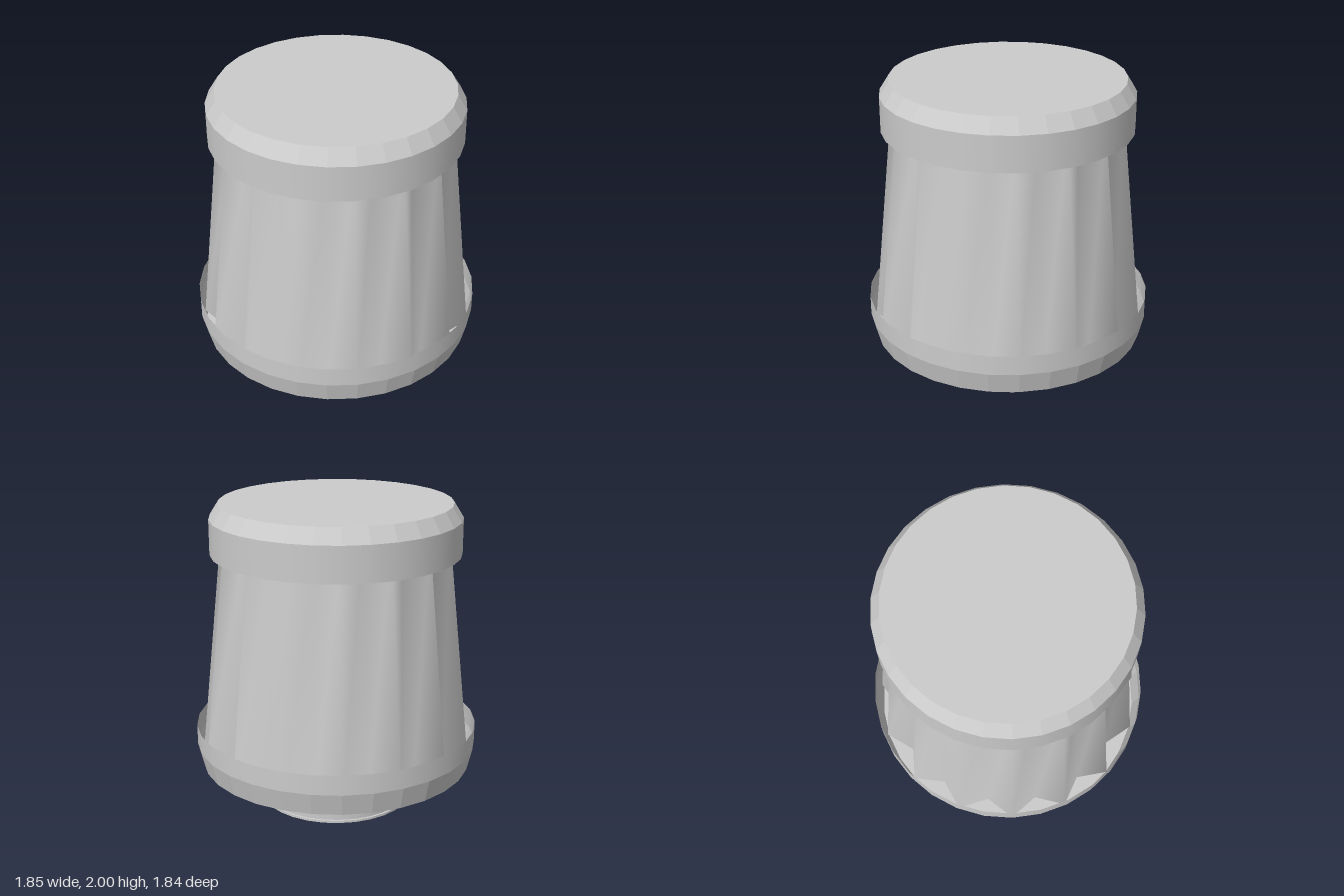
import * as THREE from 'three';

const SIDES = 30;
const smooth = new THREE.MeshStandardMaterial({ color: 0xcccccc, side: THREE.DoubleSide });
const faceted = new THREE.MeshStandardMaterial({ color: 0xcccccc, side: THREE.DoubleSide, flatShading: true });

// Cylinder or cone band standing between two heights, with a corner on +x
function band(name, rBottom, yBottom, rTop, yTop, { open = true, material = smooth } = {}) {
  const geo = new THREE.CylinderGeometry(rTop, rBottom, yTop - yBottom, SIDES, 1, open);
  geo.rotateY(Math.PI / 2);
  geo.translate(0, (yBottom + yTop) / 2, 0);
  const mesh = new THREE.Mesh(geo, material);
  mesh.name = name;
  return mesh;
}

// Flat round plate facing up or down
function disc(name, radius, y, up) {
  const geo = new THREE.CircleGeometry(radius, SIDES);
  geo.rotateX(up ? -Math.PI / 2 : Math.PI / 2);
  geo.translate(0, y, 0);
  const mesh = new THREE.Mesh(geo, smooth);
  mesh.name = name;
  return mesh;
}

// Tapered wall folded into even pleats: crests and valleys alternate around it
function pleatedWall(rBottom, yBottom, rTop, yTop, valleyRatio) {
  const positions = [], index = [];
  for (const [r, y] of [[rBottom, yBottom], [rTop, yTop]]) {
    for (let i = 0; i < SIDES; i++) {
      const a = i / SIDES * Math.PI * 2;
      const radius = i % 2 ? r * valleyRatio : r;
      positions.push(radius * Math.cos(a), y, -radius * Math.sin(a));
    }
  }
  for (let i = 0; i < SIDES; i++) {
    const j = (i + 1) % SIDES;
    index.push(i, j, SIDES + j, i, SIDES + j, SIDES + i);
  }
  const geo = new THREE.BufferGeometry();
  geo.setAttribute('position', new THREE.Float32BufferAttribute(positions, 3));
  geo.setIndex(index);
  geo.computeVertexNormals();
  const mesh = new THREE.Mesh(geo, smooth);
  mesh.name = 'pleatedWall';
  return mesh;
}

export function createModel() {
  const model = new THREE.Group();
  model.name = 'pleatedFilter';

  // Top cap, open underneath
  const topCap = new THREE.Group();
  topCap.name = 'topCap';
  topCap.add(
    disc('topPlate', 0.745, 2, true),
    band('topBevel', 0.805, 1.905, 0.745, 2, { material: faceted }),
    band('topRim', 0.805, 1.677, 0.805, 1.905)
  );

  // Bottom cup, open on top
  const bottomCup = new THREE.Group();
  bottomCup.name = 'bottomCup';
  bottomCup.add(
    disc('cupFloor', 0.89, 0.255, false),
    band('cupBevel', 0.89, 0.255, 0.925, 0.4, { material: faceted }),
    band('cupRim', 0.925, 0.4, 0.925, 0.53)
  );

  // Neck with its clamp ring and base lip
  const neck = new THREE.Group();
  neck.name = 'neck';
  neck.add(
    band('neckTube', 0.49, 0.005, 0.49, 0.255, { open: false }),
    band('clampRing', 0.565, 0.08, 0.565, 0.13, { open: false }),
    band('baseLip', 0.505, 0, 0.505, 0.015, { open: false })
  );

  model.add(topCap, pleatedWall(0.899, 0.3, 0.727, 1.9, 0.87), bottomCup, neck);
  return model;
}
